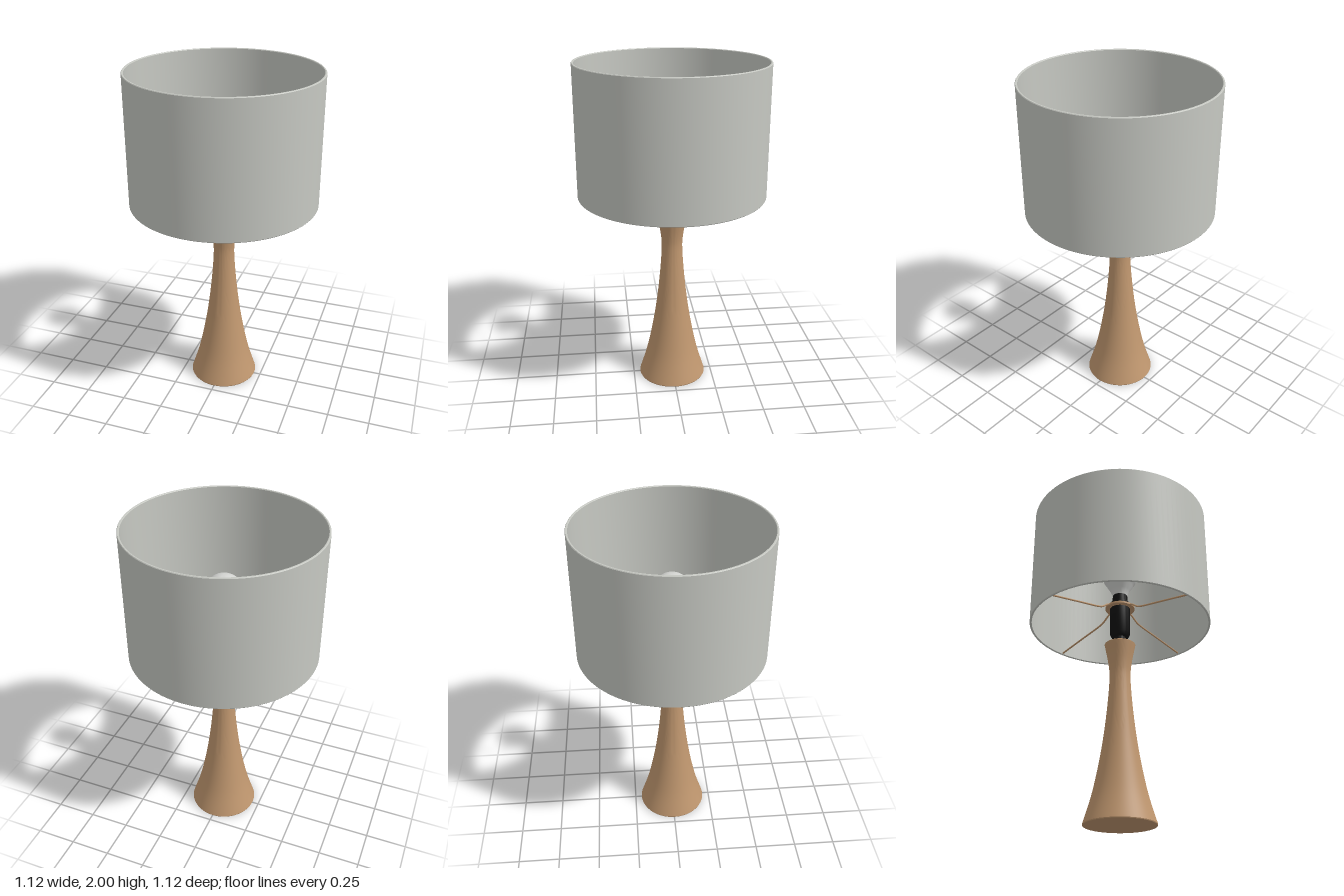
import * as THREE from 'three';
import { toCreasedNormals } from 'three/addons/utils/BufferGeometryUtils.js';

const material = (name, color) => {
  const m = new THREE.MeshStandardMaterial({ color });
  m.name = name;
  return m;
};

// Revolve a bottom-to-top profile of [radius, height], keeping hard corners sharp
function turned(name, points, mat, segments = 64) {
  const profile = points.map(([r, y]) => new THREE.Vector2(r, y));
  const geo = toCreasedNormals(new THREE.LatheGeometry(profile, segments), 0.6);
  const mesh = new THREE.Mesh(geo, mat);
  mesh.name = name;
  return mesh;
}

export function createModel() {
  const wood = material('warm wood', 0xc0976f);
  const fabric = material('pale grey fabric', 0xc6c8c2);
  const glass = material('frosted glass', 0xd2d3d0);
  const black = material('black plastic', 0x111111);

  const lamp = new THREE.Group();
  lamp.name = 'tableLamp';

  // Flared wooden base, smoothed through a few radii
  const flank = new THREE.SplineCurve([
    [0.209, 0.005], [0.157, 0.18], [0.113, 0.4], [0.083, 0.62],
    [0.064, 0.85], [0.068, 0.96], [0.094, 1.1],
  ].map(([r, y]) => new THREE.Vector2(r, y))).getPoints(40).map(p => [p.x, p.y]);
  lamp.add(turned('base', [[0, 0], [0.207, 0], ...flank, [0.09, 1.104], [0, 1.104]], wood));

  // Lamp holder with narrow neck, wide body and upper collar
  lamp.add(turned('socket', [
    [0, 1.1], [0.036, 1.1], [0.036, 1.15], [0.052, 1.155], [0.063, 1.175],
    [0.063, 1.36], [0.054, 1.365], [0.054, 1.4], [0.046, 1.405], [0.046, 1.45], [0, 1.45],
  ], black, 40));

  // Bulb: concave throat flowing into a globe
  const bulb = [[0, 1.44], [0.045, 1.44], [0.05, 1.46], [0.062, 1.485], [0.08, 1.515]];
  for (let i = 0; i <= 20; i++) {
    const a = -0.72 + (Math.PI / 2 + 0.72) * i / 20;
    bulb.push([Math.max(0, 0.113 * Math.cos(a)), 1.6 + 0.113 * Math.sin(a)]);
  }
  lamp.add(turned('bulb', bulb, glass, 48));

  // Shade carrier: ring round the socket and four bent arms
  const carrier = new THREE.Group();
  carrier.name = 'shadeCarrier';
  carrier.add(turned('carrierRing', [
    [0.058, 1.35], [0.092, 1.35], [0.092, 1.362], [0.058, 1.362], [0.058, 1.35],
  ], wood, 48));
  const armPath = new THREE.CatmullRomCurve3([
    [0.08, 1.354], [0.1, 1.35], [0.15, 1.315], [0.175, 1.305], [0.36, 1.268], [0.543, 1.232],
  ].map(([x, y]) => new THREE.Vector3(x, y, 0)));
  const armGeometry = new THREE.TubeGeometry(armPath, 32, 0.0055, 10);
  for (let i = 0; i < 4; i++) {
    const arm = new THREE.Mesh(armGeometry, wood);
    arm.name = 'carrierArm';
    arm.rotation.y = i * Math.PI / 2;
    carrier.add(arm);
  }
  lamp.add(carrier);

  // Open drum shade with thickness and softened rims
  lamp.add(turned('shade', [
    [0.545, 1.996], [0.545, 1.226], [0.548, 1.222], [0.555, 1.222], [0.558, 1.226],
    [0.558, 1.996], [0.555, 2], [0.548, 2], [0.545, 1.996],
  ], fabric, 96));

  return lamp;
}
